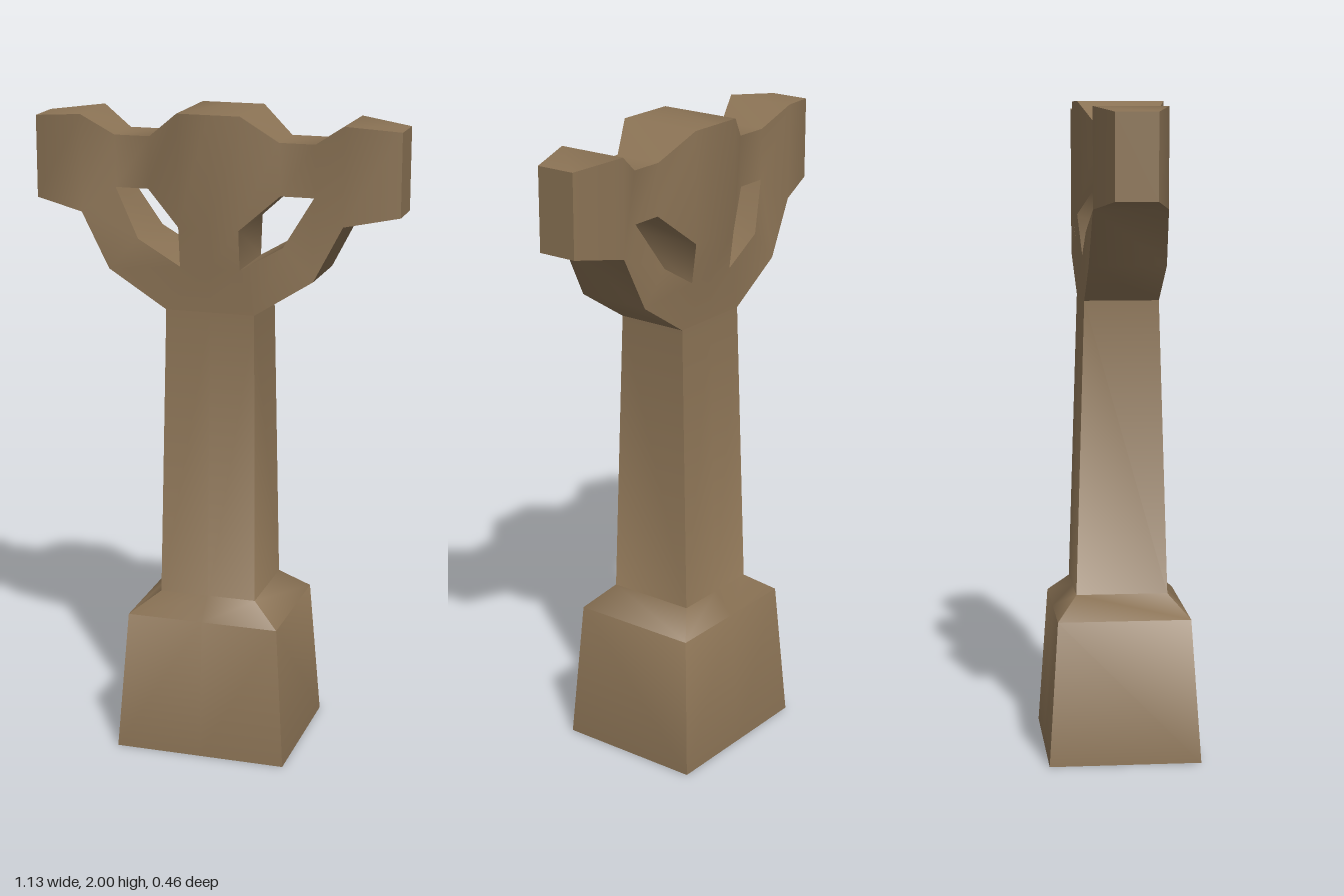
import * as THREE from 'three';
import { toCreasedNormals } from 'three/addons/utils/BufferGeometryUtils.js';

// Outline points of the +x, +z quarter: x, y, half depth
const P = {
  // crossbar, upper edge
  A: [0.097, 2.0, 0.13], B: [0.2, 1.92, 0.075], C: [0.31, 1.92, 0.075],
  D: [0.405, 1.982, 0.11], E: [0.565, 1.965, 0.062],
  // crossbar, lower edge
  F: [0.565, 1.715, 0.062], G: [0.405, 1.688, 0.11], H: [0.308, 1.762, 0.075],
  I: [0.205, 1.762, 0.075], J: [0.093, 1.662, 0.13],
  // ring brace
  K: [0.093, 1.54, 0.115], L: [0.225, 1.617, 0.115],
  M: [0.318, 1.52, 0.115], N: [0.138, 1.405, 0.113],
  // shaft foot, plinth shoulder, plinth foot
  S: [0.152, 0.505, 0.14], T: [0.239, 0.44, 0.203], U: [0.27, 0, 0.232],
};
// Lower case letters are the same points moved to the centre line
for (const k of Object.keys(P)) P[k.toLowerCase()] = [0, P[k][1], P[k][2]];

// faces: counter-clockwise front quads; walls: outlines with the solid on the right
function symmetricSlab(faces, walls) {
  const pos = [];
  const quad = (pts, flip) => {
    const q = flip ? [...pts].reverse() : pts;
    for (const i of [0, 1, 2, 0, 2, 3]) pos.push(...q[i]);
  };
  for (const sx of [1, -1]) {
    const at = (k, sz) => [P[k][0] * sx, P[k][1], P[k][2] * sz];
    for (const sz of [1, -1]) {
      for (const f of faces) quad([...f].map((k) => at(k, sz)), sx * sz < 0);
    }
    for (const w of walls) {
      for (let i = 0; i < w.length - 1; i++) {
        quad([at(w[i], 1), at(w[i + 1], 1), at(w[i + 1], -1), at(w[i], -1)], sx < 0);
      }
    }
  }
  const g = new THREE.BufferGeometry();
  g.setAttribute('position', new THREE.Float32BufferAttribute(pos, 3));
  return toCreasedNormals(g, Math.PI / 3);
}

export function createModel() {
  const group = new THREE.Group();
  group.name = 'stoneCross';
  const stone = new THREE.MeshStandardMaterial({ color: 0x8b7355, side: THREE.DoubleSide });
  stone.name = 'brown stone';

  const add = (name, faces, walls) => {
    const mesh = new THREE.Mesh(symmetricSlab(faces, walls), stone);
    mesh.name = name;
    group.add(mesh);
  };

  // Head: centre, flared arms and the two braces around the holes
  add('crossHead',
    ['jJAa', 'kKJj', 'nNKk', 'JIBA', 'IHCB', 'HGDC', 'GFED', 'MGHL', 'NMLK'],
    ['aABCDEFGMN', 'IJKLHI']);

  // Tapered shaft on a stepped plinth, open underneath
  add('shaftAndPlinth', ['sSNn', 'tTSs', 'uUTt'], ['NSTU']);

  return group;
}
